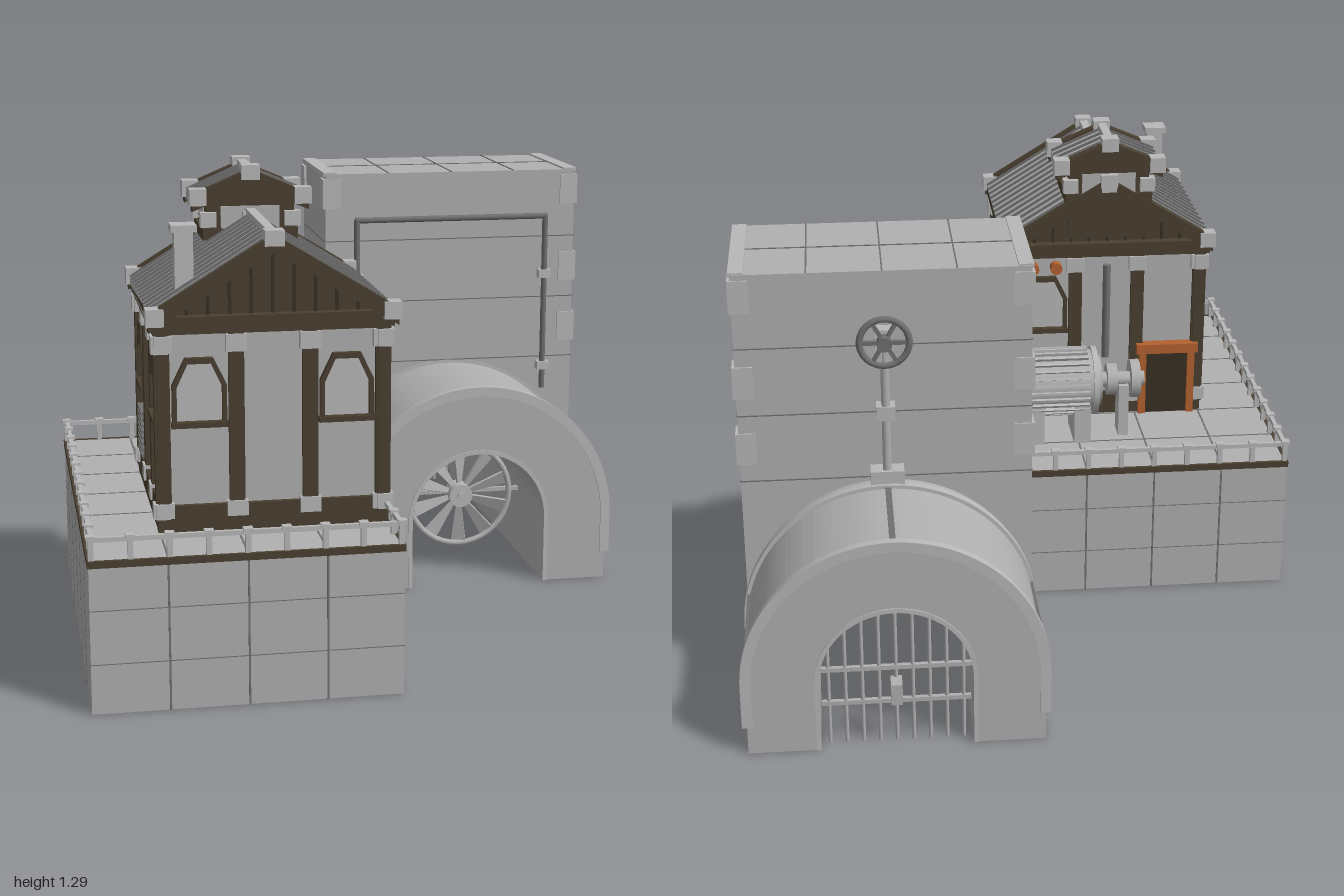
import * as THREE from 'three';
import { mergeGeometries } from 'three/addons/utils/BufferGeometryUtils.js';

const mat = (name, color) => Object.assign(new THREE.MeshStandardMaterial({ color }), { name });
const steel = mat('steel', 0xb0b0b0), plate = mat('light steel plate', 0xb8b8b8), wood = mat('dark timber', 0x4a4030);
const seam = mat('seam grey', 0x707070), plank = mat('deep timber', 0x383024), rust = mat('rust orange', 0xb4622f);

// merge a list of geometries into one named mesh
function put(parent, name, material, geos) {
  const mesh = new THREE.Mesh(mergeGeometries(geos.map(g => (g.index ? g.toNonIndexed() : g))), material);
  mesh.name = name;
  parent.add(mesh);
  return mesh;
}
const group = (parent, name) => {
  const g = new THREE.Group();
  g.name = name;
  parent.add(g);
  return g;
};
const box = (w, h, d, x, y, z, rz = 0) => new THREE.BoxGeometry(w, h, d).rotateZ(rz).translate(x, y, z);
const rod = (r, len, axis, x, y, z, n = 16) => {
  const g = new THREE.CylinderGeometry(r, r, len, n);
  if (axis === 'x') g.rotateZ(Math.PI / 2);
  if (axis === 'z') g.rotateX(Math.PI / 2);
  return g.translate(x, y, z);
};
const poly = pts => new THREE.Shape(pts.map(p => new THREE.Vector2(p[0], p[1])));
const extrude = (shape, depth, x, y, z) =>
  new THREE.ExtrudeGeometry(shape, { depth, bevelEnabled: false, curveSegments: 32 }).translate(x, y, z);
const range = (n, f) => Array.from({ length: n }, (_, i) => f(i));

const TX = 0.395; // tunnel axis
function archBand(rOut, rIn, yBot, z0, z1) {
  const s = new THREE.Shape();
  s.moveTo(-rOut, yBot);
  s.lineTo(-rOut, 0.2);
  s.absarc(0, 0.2, rOut, Math.PI, 0, true);
  s.lineTo(rOut, yBot);
  s.lineTo(rIn, yBot);
  s.lineTo(rIn, 0.2);
  s.absarc(0, 0.2, rIn, 0, Math.PI, false);
  s.lineTo(-rIn, yBot);
  return extrude(s, z1 - z0, TX, 0, z0);
}

function buildPlatform(root) {
  const g = group(root, 'platform');
  put(g, 'platformBlock', steel, [box(0.794, 0.397, 1.194, -0.4, 0.1985, 0.4)]);
  put(g, 'platformTrim', wood, [
    ...[-0.195, 0.995].map(z => box(0.8, 0.018, 0.01, -0.4, 0.39, z)),
    ...[-0.795, -0.005].map(x => box(0.01, 0.018, 1.2, x, 0.39, 0.4))]);
  // panel seams wrap round the block
  put(g, 'platformSeams', seam, [
    ...[-0.6, -0.4, -0.2].map(x => box(0.005, 0.399, 1.198, x, 0.1985, 0.4)),
    ...[0, 0.2, 0.4, 0.6, 0.8].map(z => box(0.798, 0.399, 0.005, -0.4, 0.1985, z)),
    ...[0.13, 0.27].map(y => box(0.797, 0.002, 1.197, -0.4, y, 0.4))]);
  // railing
  const posts = [], post = (x, z) => posts.push(box(0.014, 0.065, 0.014, x, 0.428, z), box(0.024, 0.01, 0.024, x, 0.458, z));
  range(9, i => { post(-0.79 + i * 0.0975, 0.988); post(-0.79 + i * 0.0975, -0.188); });
  range(11, i => post(-0.788, -0.09 + i * 0.098));
  [0.9, -0.09, 0.01, 0.1].forEach(z => post(-0.012, z));
  put(g, 'railingPosts', plate, posts);
  put(g, 'railingRails', plate, [
    box(0.79, 0.012, 0.012, -0.4, 0.452, 0.988), box(0.79, 0.012, 0.012, -0.4, 0.452, -0.188),
    box(0.012, 0.012, 1.18, -0.788, 0.452, 0.4), box(0.012, 0.012, 0.18, -0.012, 0.452, 0.9),
    box(0.012, 0.012, 0.36, -0.012, 0.452, -0.01)]);
}

function buildTunnel(root) {
  const g = group(root, 'tunnel');
  put(g, 'tunnelVault', steel, [archBand(0.39, 0.2, 0, -0.2, 0.195), archBand(0.39, 0.2, 0, -0.98, -0.595)]);
  put(g, 'tunnelFlanges', plate, [
    archBand(0.403, 0.375, 0.08, 0.178, 0.2), archBand(0.4, 0.38, 0.08, -0.22, -0.198),
    archBand(0.4, 0.38, 0.08, -0.655, -0.632), archBand(0.403, 0.375, 0.08, -0.985, -0.962),
    archBand(0.212, 0.2, 0, 0.19, 0.199), archBand(0.212, 0.2, 0, -0.984, -0.975)]);
  const lines = [];
  for (const s of [-1, 1]) for (const [z, len] of [[-0.01, 0.37], [-0.81, 0.31]])
    lines.push(box(0.01, 0.01, len, TX + s * 0.383, 0.285, z), box(0.003, 0.004, len + 0.03, TX + s * 0.39, 0.075, z));
  put(g, 'tunnelSeams', seam, [...lines, box(0.016, 0.006, 0.32, TX, 0.591, -0.81)]);
  // grille at the back mouth
  put(g, 'grille', steel, [
    ...range(9, i => {
      const x = (i - 4) * 0.044, h = 0.2 + Math.sqrt(0.04 - x * x);
      return rod(0.005, h, 'y', TX + x, h / 2, -0.945, 8);
    }),
    box(0.39, 0.012, 0.012, TX, 0.12, -0.945), box(0.4, 0.012, 0.012, TX, 0.22, -0.945),
    box(0.03, 0.06, 0.05, TX, 0.16, -0.965)]);
  // fan wheel inside the bore
  const fan = group(g, 'fanWheel');
  fan.position.set(TX, 0.21, -0.05);
  const blade = poly([[0.03, -0.007], [0.148, -0.022], [0.148, 0.022], [0.03, 0.007]]);
  put(fan, 'fanRim', steel, [new THREE.TorusGeometry(0.158, 0.009, 8, 40)]);
  put(fan, 'fanBlades', steel, range(10, i => extrude(blade, 0.008, 0, 0, -0.004).rotateX(0.35).rotateZ((i + 0.5) * Math.PI / 5)));
  put(fan, 'fanHub', plate, [rod(0.036, 0.06, 'z', 0, 0, 0, 20), rod(0.012, 0.08, 'z', 0, 0, 0)]);
  put(fan, 'fanSupport', steel, [box(0.39, 0.012, 0.012, 0, 0, -0.03)]);
}

function buildTower(root) {
  const g = group(root, 'tower');
  const s = poly([[-0.39, 0], [-0.39, 1.185], [0.39, 1.185], [0.39, 0], [0.2, 0], [0.2, 0.2]]);
  s.absarc(0, 0.2, 0.2, 0, Math.PI, false);
  s.lineTo(-0.2, 0);
  put(g, 'towerBody', steel, [extrude(s, 0.395, TX, 0, -0.595)]);
  put(g, 'towerSeams', seam, [
    ...[0.2, 0.395, 0.59].map(x => box(0.004, 0.002, 0.395, x, 1.186, -0.3975)),
    box(0.78, 0.002, 0.004, TX, 1.186, -0.3975),
    ...[0.6, 0.79, 0.98].flatMap(y => [
      box(0.78, 0.003, 0.002, TX, y, -0.596),
      box(0.78, 0.003, 0.002, TX, y, -0.1995),
      ...[0.004, 0.786].map(x => box(0.002, 0.003, 0.395, x, y, -0.3975))])]);
  const corners = [];
  for (const x of [0.024, 0.766]) for (const z of [-0.225, -0.57]) for (const y of [1.125, 0.885, 0.695])
    corners.push(box(0.054, 0.09, 0.06, x, y, z));
  for (const x of [0.02, 0.77]) corners.push(box(0.04, 0.012, 0.39, x, 1.184, -0.3975));
  put(g, 'cornerPlates', plate, corners);
  // pipe frame on the front
  put(g, 'pipeFrame', seam, [rod(0.009, 0.6, 'x', TX, 1.045, -0.185, 8),
    ...[0.1, 0.69].map(x => rod(0.009, 0.545, 'y', x, 0.775, -0.185, 8))]);
  put(g, 'pipeBrackets', plate, [0.1, 0.69].flatMap(x => [0.575, 0.865].map(y => box(0.038, 0.025, 0.03, x, y, -0.187))));
  // valve on the back
  const v = group(g, 'valve');
  put(v, 'valveStem', steel, [rod(0.012, 0.4, 'y', TX, 0.78, -0.625, 10), rod(0.012, 0.08, 'z', TX, 1.01, -0.63, 10)]);
  put(v, 'valveMounts', plate, [box(0.09, 0.05, 0.05, TX, 0.61, -0.62), box(0.05, 0.04, 0.045, TX, 0.8, -0.617),
    box(0.05, 0.09, 0.04, TX, 0.99, -0.615)]);
  put(v, 'valveWheel', seam, [new THREE.TorusGeometry(0.065, 0.009, 8, 24).translate(TX, 1.01, -0.655),
    ...range(3, i => box(0.13, 0.01, 0.01, 0, 0, 0, i * Math.PI / 3).translate(TX, 1.01, -0.655)),
    rod(0.02, 0.03, 'z', TX, 1.01, -0.66)]);
}

// gabled roof around x = 0 with its ridge along z
function roof(parent, name, hw, yEave, yRidge, z0, z1, ribs) {
  const g = group(parent, name), t = 0.025, len = Math.hypot(hw, yRidge - yEave), a = Math.atan2(yRidge - yEave, hw);
  const chevron = (w, dy, th) => poly([[-w, yEave + dy], [-w, yEave + dy - th], [0, yRidge + dy - th], [w, yEave + dy - th], [w, yEave + dy], [0, yRidge + dy]]);
  put(g, name + 'Panels', steel, [extrude(chevron(hw, 0, t), z1 - z0 - 0.06, 0, 0, z0 + 0.03)]);
  put(g, name + 'Bargeboards', wood, [z0, z1 - 0.03].map(z => extrude(chevron(hw + 0.004, 0.008, 0.045), 0.03, 0, 0, z)));
  put(g, name + 'Ribs', seam, range(ribs, i => z0 + 0.03 + (i + 0.5) * (z1 - z0 - 0.06) / ribs).flatMap(z =>
    [-1, 1].map(s => box(len, 0.01, 0.006, s * hw / 2, (yEave + yRidge) / 2 + 0.002, z, -s * a))));
  put(g, name + 'RidgeBeam', plate, [box(0.025, 0.02, z1 - z0, 0, yRidge + 0.004, (z0 + z1) / 2)]);
  put(g, name + 'EndBlocks', plate, [z0 + 0.015, z1 - 0.015].flatMap(z => [
    box(0.05, 0.04, 0.046, 0, yRidge, z), ...[-1, 1].map(s => box(0.046, 0.045, 0.046, s * (hw - 0.012), yEave + 0.002, z))]));
  return g;
}

function addWindow(side, x) {
  const pts = [[-0.07, 0.675], [0.07, 0.675], [0.07, 0.785], [0.036, 0.855], [-0.036, 0.855], [-0.07, 0.785]];
  const inner = [[-0.058, 0.69], [0.058, 0.69], [0.058, 0.78], [0.03, 0.84], [-0.03, 0.84], [-0.058, 0.78]];
  const s = poly(pts);
  s.holes.push(poly(inner));
  put(side, 'windowFrame', wood, [extrude(s, 0.016, x, 0, 0.285), box(0.145, 0.014, 0.022, x, 0.682, 0.296)]);
  put(side, 'windowPane', plate, [extrude(poly(inner), 0.004, x, 0, 0.284)]);
}

function buildHouse(root) {
  const h = group(root, 'house'), offs = [-0.285, -0.095, 0.095, 0.285];
  h.position.set(-0.305, 0, 0.5);
  put(h, 'walls', steel, [box(0.57, 0.55, 0.57, 0, 0.675, 0)]);
  // four framed sides: front, +x, back, -x
  const sides = range(4, i => {
    const s = group(h, ['frontWall', 'leftWall', 'backWall', 'rightWall'][i]);
    s.rotation.y = i * Math.PI / 2;
    put(s, 'timberFrame', wood, [box(0.6, 0.07, 0.03, 0, 0.435, 0.284), box(0.6, 0.045, 0.04, 0, 0.94, 0.284),
      ...offs.map(x => box(0.04, 0.5, 0.03, x, 0.68, 0.284))]);
    put(s, 'postBlocks', plate, offs.flatMap(x => [box(0.054, 0.045, 0.036, x, 0.892, 0.287), box(0.054, 0.04, 0.036, x, 0.458, 0.287)]));
    return s;
  });
  for (const s of [sides[0], sides[3]]) [-0.19, 0.19].forEach(x => addWindow(s, x));
  addWindow(sides[2], -0.19);
  // back door, lamps and pipe
  put(sides[2], 'doorFrame', rust, [box(0.022, 0.21, 0.035, 0.115, 0.505, 0.3), box(0.022, 0.21, 0.035, 0.265, 0.505, 0.3),
    box(0.19, 0.03, 0.04, 0.19, 0.615, 0.3)]);
  put(sides[2], 'doorLeaf', plank, [box(0.13, 0.2, 0.02, 0.19, 0.5, 0.298)]);
  put(sides[2], 'lamps', rust, [-0.225, -0.155].map(x => rod(0.018, 0.03, 'z', x, 0.885, 0.3, 12)));
  put(sides[2], 'wallPipe', seam, [rod(0.012, 0.3, 'y', 0, 0.74, 0.3, 10)]);
  put(sides[3], 'louvre', seam, range(8, i => box(0.12, 0.008, 0.03, -0.19, 0.49 + i * 0.017, 0.29)));
  // gables and main roof
  const tri = poly([[-0.3, 0.955], [0.3, 0.955], [0, 1.145]]);
  put(h, 'gables', wood, [extrude(tri, 0.58, 0, 0, -0.29), ...[-0.3, 0.3].map(z => box(0.62, 0.04, 0.04, 0, 0.945, z))]);
  put(h, 'gablePlanks', plank, [-1, 1].flatMap(s => range(9, i => {
    const x = (i - 4) * 0.055, top = 1.13 - Math.abs(x) * 0.63;
    return box(0.008, top - 0.965, 0.008, x, (top + 0.965) / 2, s * 0.292);
  })));
  put(h, 'eaveBeams', wood, [-0.3, 0.3].map(x => box(0.03, 0.03, 0.64, x, 0.95, 0)));
  roof(h, 'mainRoof', 0.315, 0.965, 1.16, -0.32, 0.33, 13);
  // roof turret
  const t = group(h, 'turret');
  put(t, 'turretBody', wood, [box(0.24, 0.22, 0.19, 0, 1.09, -0.21), extrude(poly([[-0.14, 1.19], [0.14, 1.19], [0, 1.255]]), 0.19, 0, 0, -0.305)]);
  put(t, 'turretPanels', steel, [box(0.246, 0.06, 0.1, 0, 1.15, -0.21), box(0.16, 0.06, 0.196, 0, 1.15, -0.21)]);
  put(t, 'turretBlocks', plate, [-0.115, 0, 0.115].flatMap(x => [-0.305, -0.115].map(z => box(0.044, 0.04, 0.034, x, 1.145, z))));
  put(t, 'turretSills', wood, [box(0.26, 0.03, 0.21, 0, 1.105, -0.21)]);
  roof(t, 'turretRoof', 0.155, 1.205, 1.272, -0.322, -0.1, 4);
  // chimney
  put(h, 'chimney', plate, [box(0.048, 0.17, 0.048, -0.215, 1.09, 0.19), box(0.066, 0.018, 0.066, -0.215, 1.172, 0.19)]);
}

function buildGenerator(root) {
  const g = group(root, 'generator'), y = 0.57, z = 0.07;
  put(g, 'generatorDrum', steel, [rod(0.094, 0.23, 'x', -0.14, y, z, 32), rod(0.075, 0.26, 'x', -0.14, y, z, 24)]);
  put(g, 'coolingFins', plate, [...range(28, i => box(0.18, 0.014, 0.007, -0.14, 0.096, 0).rotateX(i * Math.PI / 14).translate(0, y, z)),
    ...[-0.25, -0.03].map(x => rod(0.103, 0.016, 'x', x, y, z, 32))]);
  put(g, 'driveShaft', steel, [rod(0.022, 0.17, 'x', -0.32, y, z), rod(0.048, 0.03, 'x', -0.305, y, z, 20), rod(0.058, 0.028, 'x', -0.375, y, z, 20)]);
  put(g, 'generatorStands', plate, [box(0.05, 0.13, 0.16, -0.21, 0.455, z), box(0.05, 0.13, 0.16, -0.07, 0.455, z), box(0.03, 0.17, 0.07, -0.34, 0.475, z)]);
}

export function createModel() {
  const root = new THREE.Group();
  root.name = 'wheelhouse';
  [buildPlatform, buildTunnel, buildTower, buildHouse, buildGenerator].forEach(f => f(root));
  return root;
}
